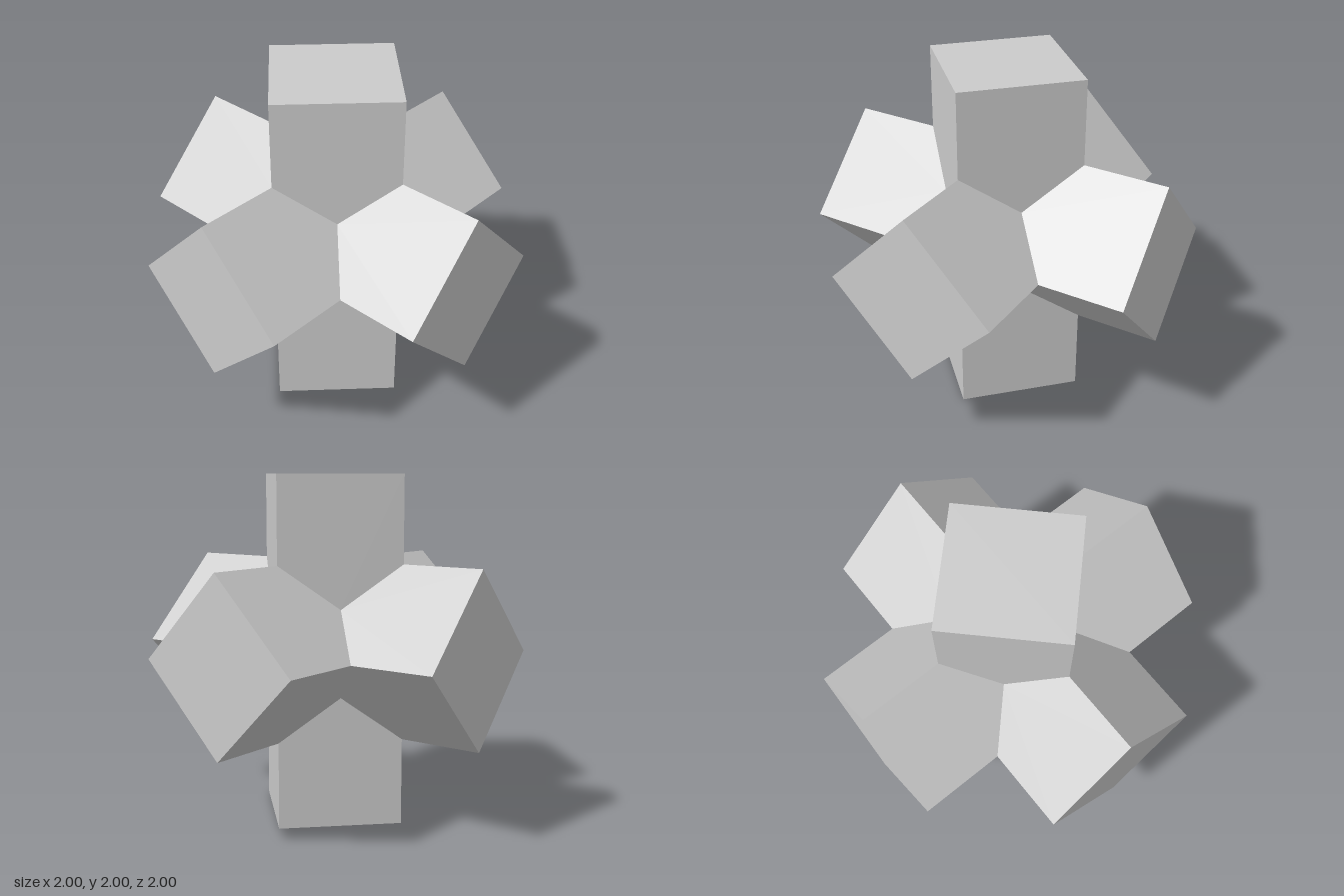
import * as THREE from 'three';
import { mergeGeometries } from 'three/addons/utils/BufferGeometryUtils.js';

const SIDE = Math.SQRT1_2; // square bar with a diagonal of 1
const HALF = SIDE / 2;

// One arm pointing up: four pentagonal walls that meet the neighbouring arms, and a square end
function armGeometry() {
  const pentagon = new THREE.Shape([
    new THREE.Vector2(0, 0.25),
    new THREE.Vector2(HALF, 0.5),
    new THREE.Vector2(HALF, 1),
    new THREE.Vector2(-HALF, 1),
    new THREE.Vector2(-HALF, 0.5),
  ]);
  const faces = [];
  for (let i = 0; i < 4; i++) {
    faces.push(new THREE.ShapeGeometry(pentagon)
      .translate(0, 0, HALF)
      .rotateY(Math.PI / 4 + i * Math.PI / 2));
  }
  faces.push(new THREE.PlaneGeometry(SIDE, SIDE)
    .rotateX(-Math.PI / 2)
    .rotateY(Math.PI / 4)
    .translate(0, 1, 0));
  return mergeGeometries(faces);
}

export function createModel() {
  const group = new THREE.Group();
  group.name = 'crossedBars';
  const material = new THREE.MeshStandardMaterial({ color: 0xcccccc, flatShading: true });
  const geometry = armGeometry();
  const quarter = Math.PI / 2;

  // Six arms, each turned from the upright one about the common centre
  const arms = [
    ['topArm', 0, 0],
    ['bottomArm', Math.PI, 0],
    ['frontArm', quarter, 0],
    ['backArm', -quarter, 0],
    ['leftArm', 0, -quarter],
    ['rightArm', 0, quarter],
  ];
  for (const [name, turnX, turnZ] of arms) {
    const arm = new THREE.Mesh(geometry, material);
    arm.name = name;
    arm.rotation.set(turnX, 0, turnZ);
    arm.position.y = 1;
    group.add(arm);
  }
  return group;
}
